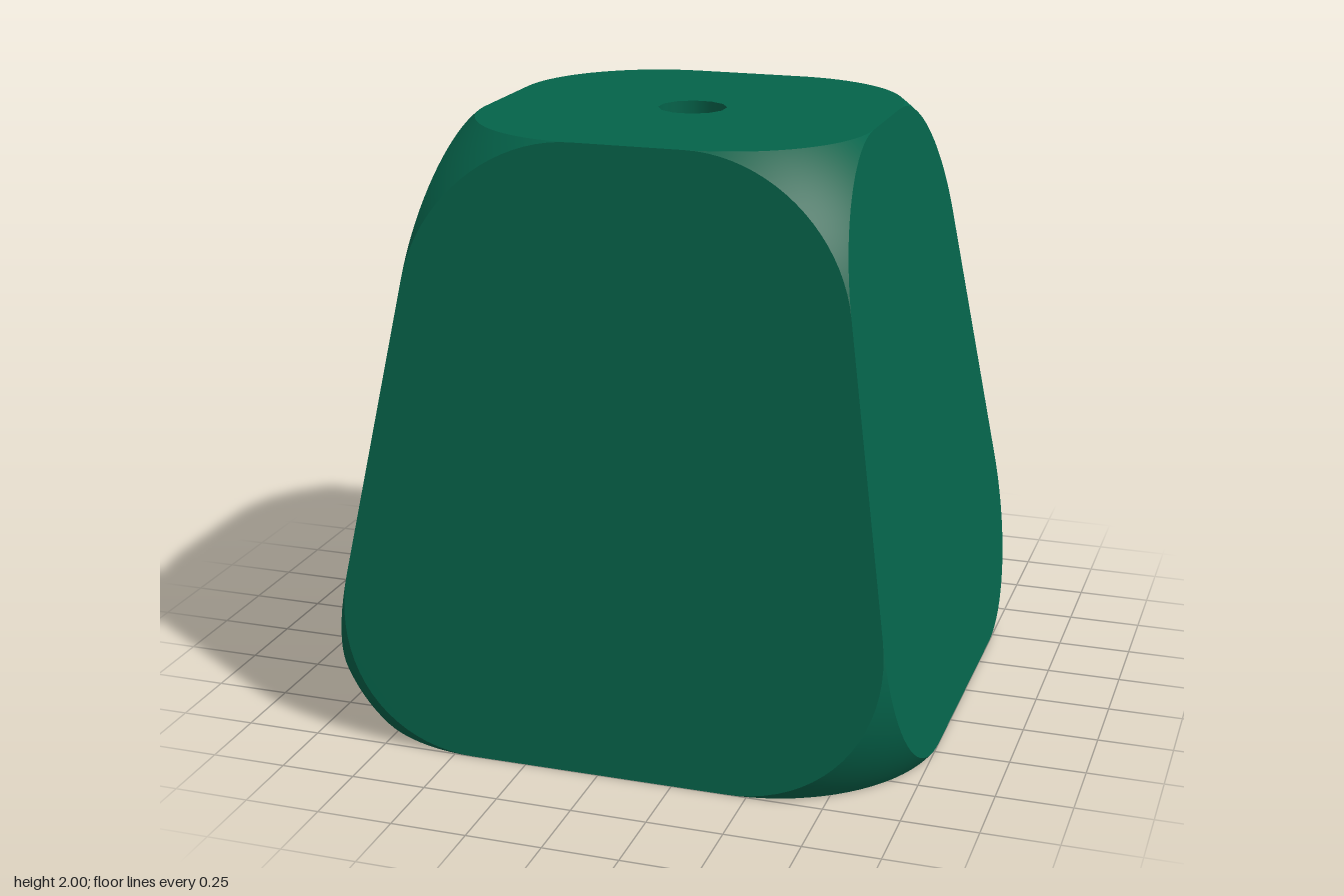
import * as THREE from 'three';

const V = (x, y, z) => new THREE.Vector3(x, y, z);
const HEIGHT = 2, BOTTOM = 1, TOP = 0.67; // tapered block half-widths
const STEPS = 20;                         // segments per rounded corner
const HOLE_R = 0.116, HOLE_SIDES = 12;

// Corners of the block: 0-3 around the bottom, 4-7 around the top
const SIGNS = [[1, 1], [1, -1], [-1, -1], [-1, 1]];
const corners = [
  ...SIGNS.map(([x, z]) => V(x * BOTTOM, 0, z * BOTTOM)),
  ...SIGNS.map(([x, z]) => V(x * TOP, HEIGHT, z * TOP)),
];
const radius = (i) => (i < 4 ? 0.57 : 0.48);

// Vector along the edge from corner i to corner j, as long as the rounding
const edge = (i, j) => corners[j].clone().sub(corners[i]).setLength(radius(i));

// Flat face with rounded corners; loop runs counter-clockwise seen from outside
function faceGeometry(loop, pierced) {
  const origin = corners[loop[0]];
  const u = corners[loop[1]].clone().sub(origin).normalize();
  const n = u.clone().cross(corners[loop[3]].clone().sub(origin)).normalize();
  const matrix = new THREE.Matrix4().makeBasis(u, n.clone().cross(u), n).setPosition(origin);
  const inverse = matrix.clone().invert();
  const flat = (p) => { p.applyMatrix4(inverse); return new THREE.Vector2(p.x, p.y); };

  const outline = [];
  loop.forEach((c, k) => {
    const a = edge(c, loop[(k + 3) % 4]), b = edge(c, loop[(k + 1) % 4]);
    for (let s = 0; s <= STEPS; s++) {
      const t = (s / STEPS) * Math.PI / 2;
      outline.push(flat(corners[c].clone()
        .addScaledVector(a, 1 - Math.sin(t)).addScaledVector(b, 1 - Math.cos(t))));
    }
  });
  const shape = new THREE.Shape(outline);
  if (pierced) {
    const ring = [];
    for (let k = 0; k < HOLE_SIDES; k++) {
      const t = (k + 0.5) / HOLE_SIDES * Math.PI * 2;
      ring.push(flat(V(HOLE_R * Math.sin(t), origin.y, HOLE_R * Math.cos(t))));
    }
    shape.holes.push(new THREE.Path(ring));
  }
  return new THREE.ShapeGeometry(shape).applyMatrix4(matrix);
}

// Spherical patch, skewed to the corner, joining the three arcs around it
function cornerGeometry(i) {
  const base = i < 4 ? 0 : 4, k = i - base;
  const a = edge(i, base + (k + 1) % 4);
  const b = edge(i, base + (k + 3) % 4);
  const c = edge(i, 4 - base + k);
  const pos = [], index = [], w = STEPS + 1;
  for (let r = 0; r <= STEPS; r++) {
    const h = 1 - Math.cos((r / STEPS) * Math.PI / 2);
    const rho = Math.sqrt(2 - (1 - h) ** 2);
    const start = Math.acos(Math.min(1, 1 / rho));
    for (let s = 0; s <= STEPS; s++) {
      const t = start + (s / STEPS) * (Math.PI / 2 - 2 * start);
      const p = corners[i].clone().addScaledVector(a, 1 - rho * Math.cos(t))
        .addScaledVector(b, 1 - rho * Math.sin(t)).addScaledVector(c, h);
      pos.push(p.x, p.y, p.z);
    }
  }
  // Mirrored corners need the opposite winding
  const flip = a.clone().cross(b).dot(c) < 0;
  for (let r = 0; r < STEPS; r++) {
    for (let s = 0; s < STEPS; s++) {
      const p = r * w + s, q = p + 1, m = p + w, o = m + 1;
      const tris = r < STEPS - 1 ? [[p, q, o], [p, o, m]] : [[p, q, m]];
      tris.forEach(([x, y, z]) => index.push(...(flip ? [x, z, y] : [x, y, z])));
    }
  }
  const g = new THREE.BufferGeometry();
  g.setAttribute('position', new THREE.Float32BufferAttribute(pos, 3));
  g.setIndex(index);
  g.computeVertexNormals();
  return g;
}

export function createModel() {
  const group = new THREE.Group();
  group.name = 'piercedBlock';
  const color = 0x04634a;
  const material = new THREE.MeshStandardMaterial({ color });
  const add = (name, geometry, mat = material) => {
    const mesh = new THREE.Mesh(geometry, mat);
    mesh.name = name;
    group.add(mesh);
  };

  // Top, bottom and four sloping sides
  add('topFace', faceGeometry([4, 5, 6, 7], true));
  add('bottomFace', faceGeometry([3, 2, 1, 0], true));
  ['leftFace', 'backFace', 'rightFace', 'frontFace'].forEach((name, k) => {
    const j = (k + 1) % 4;
    add(name, faceGeometry([k, j, 4 + j, 4 + k], false));
  });

  // Rounded corners
  corners.forEach((_, i) => add(i < 4 ? 'bottomCorner' : 'topCorner', cornerGeometry(i)));

  // Wall of the hole running straight through
  const hole = new THREE.CylinderGeometry(HOLE_R, HOLE_R, HEIGHT, HOLE_SIDES, 1, true);
  hole.rotateY(Math.PI / HOLE_SIDES).translate(0, HEIGHT / 2, 0);
  add('holeWall', hole, new THREE.MeshStandardMaterial({ color, side: THREE.BackSide }));

  return group;
}
